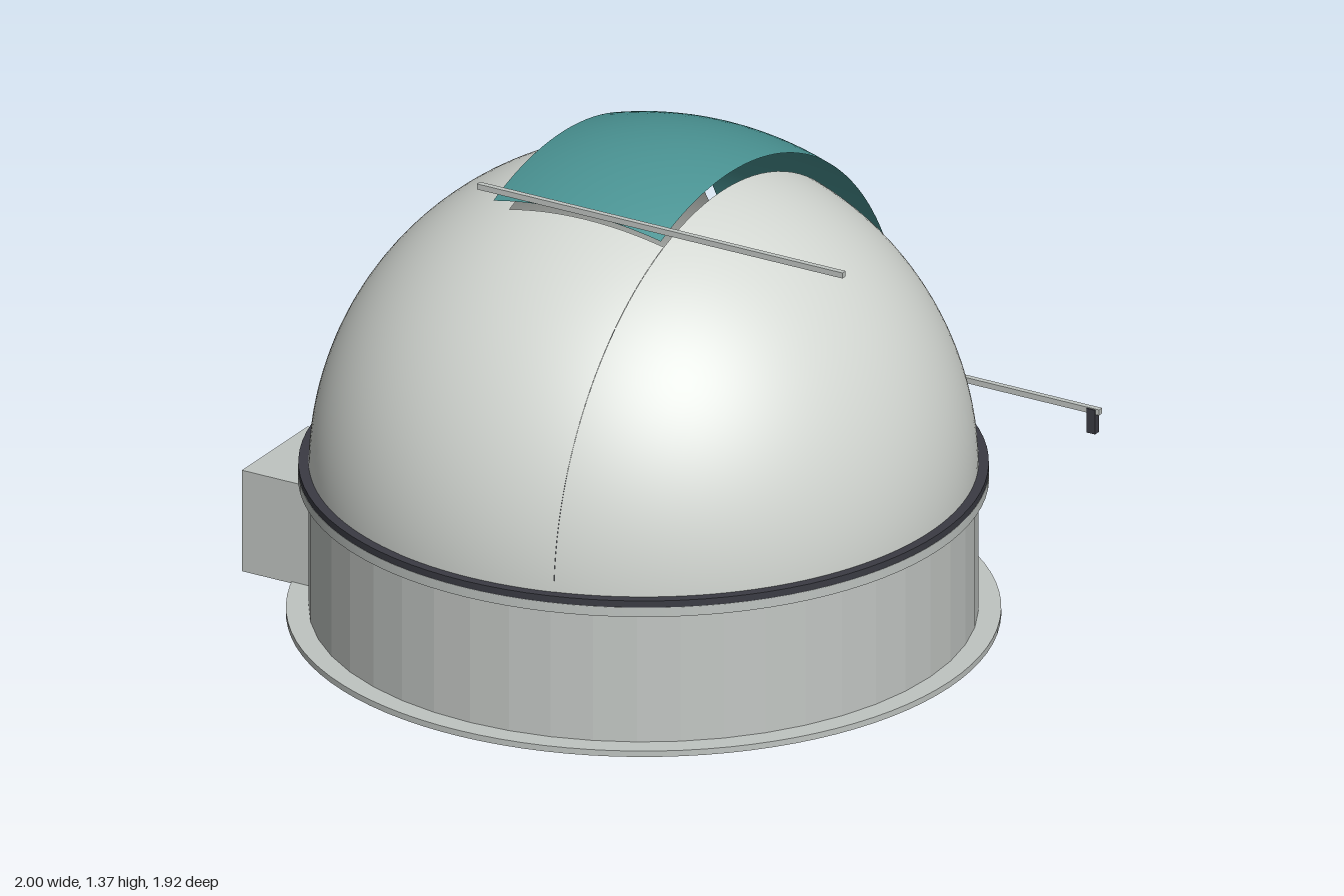
import * as THREE from 'three';
import { toCreasedNormals } from 'three/addons/utils/BufferGeometryUtils.js';

const CX = 0.045, CZ = 0.012;   // centre of the round building
const SPRING = 0.42;            // height of the dome's centre
const DOME_R = 0.89, SHUTTER_R = 0.948;
const SLIT = 0.24, SHUTTER_HALF = 0.26;

const material = (name, color, side = THREE.FrontSide) => {
  const m = new THREE.MeshStandardMaterial({ color, side });
  m.name = name;
  return m;
};

// Band of a sphere whose poles lie on x, between x0 and x1;
// angles run in degrees from the front horizon (0) over the top to the back (180)
function sphereBand(r, x0, x1, a0, a1, wide, high) {
  const t0 = Math.acos(x1 / r), t1 = Math.acos(x0 / r);
  const rad = Math.PI / 180;
  return new THREE.SphereGeometry(r, wide, high,
    Math.PI / 2 - a1 * rad, (a1 - a0) * rad, t0, t1 - t0).rotateZ(-Math.PI / 2);
}

// Ring of rectangular section
function ring(inner, outer, y0, y1, sides = 96) {
  const pts = [[inner, y0], [outer, y0], [outer, y1], [inner, y1], [inner, y0]];
  const g = new THREE.LatheGeometry(pts.map(p => new THREE.Vector2(...p)), sides);
  return toCreasedNormals(g, 0.5);
}

export function createModel() {
  const model = new THREE.Group();
  model.name = 'observatory';

  const domeGrey = material('domeGrey', 0xd3d7d2, THREE.DoubleSide);
  const wallGrey = material('wallGrey', 0xc3c7c4, THREE.DoubleSide);
  wallGrey.flatShading = true;
  const trimGrey = material('trimGrey', 0xbfc4c1);
  const teal = material('teal', 0x4a9393, THREE.DoubleSide);
  const dark = material('dark', 0x3a3b43, THREE.DoubleSide);

  const add = (parent, name, geometry, mat, x = 0, y = 0, z = 0) => {
    const mesh = new THREE.Mesh(geometry, mat);
    mesh.name = name;
    mesh.position.set(x, y, z);
    parent.add(mesh);
    return mesh;
  };

  // Round building
  const building = new THREE.Group();
  building.name = 'building';
  building.position.set(CX, 0, CZ);
  model.add(building);
  add(building, 'basePlate', ring(0.22, 0.95, 0, 0.017), trimGrey);
  add(building, 'floor', new THREE.CylinderGeometry(0.88, 0.88, 0.004, 48), dark, 0, 0.017);
  add(building, 'wall', new THREE.CylinderGeometry(0.89, 0.89, 0.385, 48, 1, true), wallGrey, 0, 0.2075);
  add(building, 'wallCap', ring(0.85, 0.918, 0.392, 0.419), trimGrey);
  add(building, 'domeTrack', ring(0.85, 0.917, 0.419, 0.438), dark);

  // Dome halves either side of the slit, front panel and raised shutter
  const dome = new THREE.Group();
  dome.name = 'dome';
  dome.position.set(CX, SPRING, CZ);
  model.add(dome);
  add(dome, 'domeLeft', sphereBand(DOME_R, SLIT, DOME_R, 0, 180, 64, 32), domeGrey);
  add(dome, 'domeRight', sphereBand(DOME_R, -DOME_R, -SLIT, 0, 180, 64, 32), domeGrey);
  add(dome, 'frontPanel', sphereBand(DOME_R + 0.001, -SLIT, SLIT, 0, 70, 32, 12), domeGrey);
  add(dome, 'shutter', sphereBand(SHUTTER_R, -SHUTTER_HALF, SHUTTER_HALF, 68, 180, 48, 12), teal);

  // Shutter rails and the two brackets under the back one
  const rail = new THREE.BoxGeometry(1.135, 0.016, 0.016);
  add(model, 'frontRail', rail, trimGrey, 0.3125, 1.304, 0.364);
  add(model, 'backRail', rail, trimGrey, 0.3125, 0.41, -0.952);
  for (const x of [-0.232, 0.857]) {
    add(model, 'railBracket', new THREE.BoxGeometry(0.026, 0.07, 0.022), dark, x, 0.381, -0.951);
  }

  // Entrance porch with its door on the right side
  add(model, 'porch', new THREE.BoxGeometry(0.22, 0.293, 0.337), trimGrey, -0.885, 0.1585, 0.185);
  add(model, 'door', new THREE.BoxGeometry(0.008, 0.235, 0.15), dark, -0.996, 0.1325, 0.185);

  return model;
}
